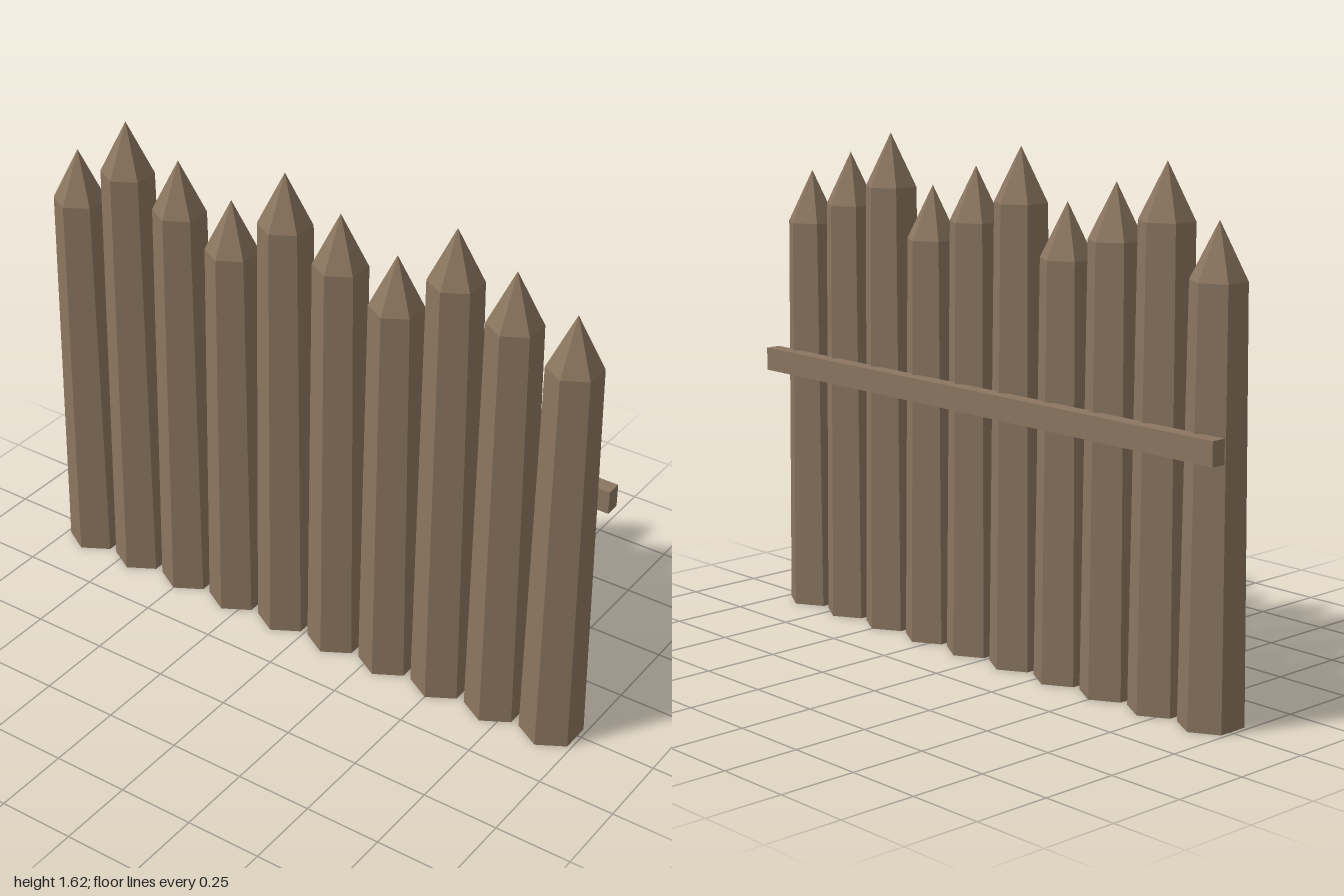
import * as THREE from 'three';

export function createModel() {
  const fence = new THREE.Group();
  fence.name = 'palisadeFence';
  const wood = new THREE.MeshStandardMaterial({ color: 0x8b7660 });
  wood.name = 'weathered wood';
  wood.flatShading = true;

  const add = (parent, name, geometry, x, y, z) => {
    const mesh = new THREE.Mesh(geometry, wood);
    mesh.name = name;
    mesh.position.set(x, y, z);
    parent.add(mesh);
  };

  // Tapered six-sided stakes in three repeating heights, each with a pointed tip
  const shaftHeights = [1.3, 1.45, 1.375];
  const tipHeight = 0.17;
  for (let i = 0; i < 10; i++) {
    const h = shaftHeights[i % 3];
    const stake = new THREE.Group();
    stake.name = `stake${i + 1}`;
    stake.position.set(-0.9 + i * 0.2, 0, 0.0125);
    add(stake, 'shaft', new THREE.CylinderGeometry(0.085, 0.1, h, 6), 0, h / 2, 0);
    add(stake, 'tip', new THREE.ConeGeometry(0.085, tipHeight, 6, 1, true), 0, h + tipHeight / 2, 0);
    fence.add(stake);
  }

  // Rail across the back
  add(fence, 'backRail', new THREE.BoxGeometry(2, 0.075, 0.05), 0, 0.8375, -0.0875);

  return fence;
}
